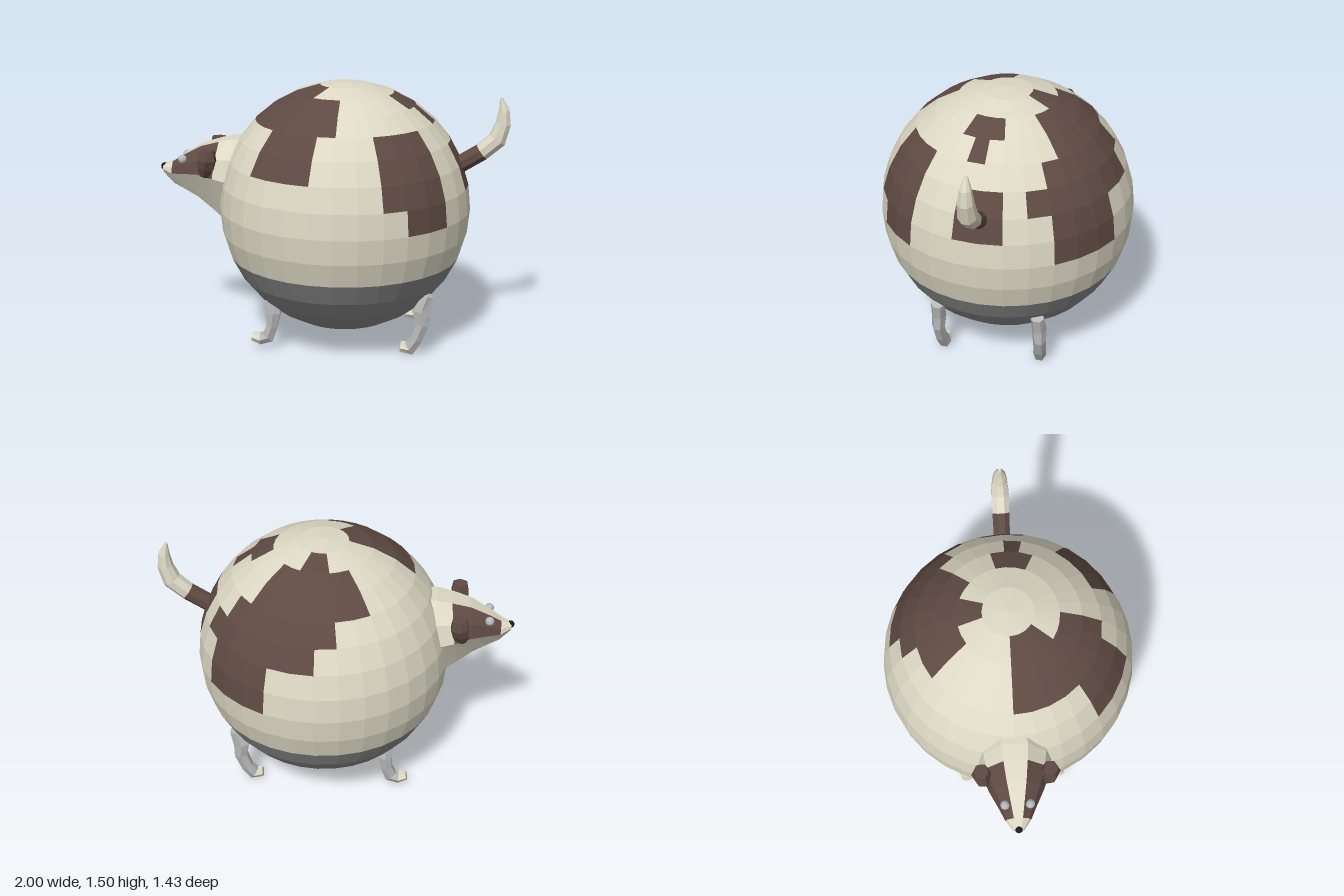
import * as THREE from 'three';

const CREAM = 0xdcd8c4, BROWN = 0x5f4a43, BELLY = 0x868686, LEG = 0xb8b8b8, BLACK = 0x1c1a1a, EYE = 0xb4bac0;
const mats = new Map();
const mat = (color) => {
  if (!mats.has(color)) mats.set(color, new THREE.MeshStandardMaterial({ color, flatShading: true }));
  return mats.get(color);
};

// Collects flat facets by colour and turns them into one named group
class Facets {
  constructor() { this.byColor = new Map(); }
  quad(color, a, b, c, d) {
    if (!this.byColor.has(color)) this.byColor.set(color, []);
    const out = this.byColor.get(color);
    for (const p of [a, b, c, a, c, d]) out.push(p.x, p.y, p.z);
  }
  build(name) {
    const group = new THREE.Group();
    group.name = name;
    for (const [color, pts] of this.byColor) {
      const g = new THREE.BufferGeometry();
      g.setAttribute('position', new THREE.Float32BufferAttribute(pts, 3));
      g.computeVertexNormals();
      const mesh = new THREE.Mesh(g, mat(color));
      mesh.name = name + 'Surface';
      group.add(mesh);
    }
    return group;
  }
}

// Skins a row of rings; colorOf(ring, side) picks the colour of each facet
function loft(name, rings, colorOf) {
  const f = new Facets(), n = rings[0].length, last = rings.length - 1;
  for (let i = 0; i < last; i++)
    for (let k = 0; k < n; k++) {
      const m = (k + 1) % n;
      f.quad(colorOf(i, k), rings[i][k], rings[i][m], rings[i + 1][m], rings[i + 1][k]);
    }
  const mid = (r) => r.reduce((s, p) => s.add(p), new THREE.Vector3()).divideScalar(n);
  const a = mid(rings[0]), b = mid(rings[last]);
  for (let k = 0; k < n; k++) {
    const m = (k + 1) % n;
    f.quad(colorOf(0, k), a, rings[0][m], rings[0][k], a);
    f.quad(colorOf(last - 1, k), b, rings[last][k], rings[last][m], b);
  }
  return f.build(name);
}

// Limb along a path of [x, y, z, half thickness, half width in z]
function limb(name, path, sides, colorOf) {
  const rings = path.map(([x, y, z, h, w], i) => {
    const p = path[Math.max(i - 1, 0)], q = path[Math.min(i + 1, path.length - 1)];
    const t = new THREE.Vector2(q[0] - p[0], q[1] - p[1]).normalize();
    return Array.from({ length: sides }, (_, k) => {
      const a = ((k + 0.5) / sides) * Math.PI * 2, c = Math.cos(a) * h;
      return new THREE.Vector3(x - t.y * c, y + t.x * c, z + Math.sin(a) * w);
    });
  });
  return loft(name, rings, colorOf);
}

// Round body, 16 rows by 32 columns, with patches as [row, first column, end column]
function makeBody() {
  const patches = [
    [4, 3, 6], [5, 3, 6], [6, 3, 6], [7, 3, 5],                    // rear flank, left
    [5, -1, 1], [6, -1, 1],                                        // round the tail
    [2, -1, 2], [3, 0, 1],                                         // small top spot
    [1, 11, 16], [2, 8, 16], [3, 8, 16], [4, 9, 12], [5, 9, 12],   // shoulder
    [1, -9, -6], [2, -11, -4], [3, -11, -4], [4, -9, -3],          // back flank
    [5, -8, -2], [6, -6, -3], [7, -6, -3],
  ];
  const R = 0.715, f = new Facets();
  const pt = (i, j) => {
    const a = (i * Math.PI) / 16, b = (j * Math.PI) / 16;
    return new THREE.Vector3(0.07 + R * Math.sin(a) * Math.cos(b), 0.805 + R * Math.cos(a), R * Math.sin(a) * Math.sin(b));
  };
  for (let i = 0; i < 16; i++)
    for (let j = -16; j < 16; j++) {
      const brown = patches.some(([r, s, e]) => r === i && j >= s && j < e);
      f.quad(brown ? BROWN : i >= 10 ? BELLY : CREAM, pt(i, j), pt(i, j + 1), pt(i + 1, j + 1), pt(i + 1, j));
    }
  return f.build('body');
}

// Head from neck to muzzle: [top x, top y, bottom x, bottom y, half width]
function makeHead() {
  const stations = [
    [-0.46, 1.19, -0.58, 0.70, 0.2], [-0.56, 1.187, -0.64, 0.732, 0.2],
    [-0.645, 1.17, -0.69, 0.775, 0.185], [-0.75, 1.14, -0.775, 0.84, 0.15],
    [-0.86, 1.08, -0.86, 0.882, 0.1], [-0.925, 1.038, -0.92, 0.91, 0.07],
    [-0.985, 1.015, -0.98, 0.968, 0.03],
  ];
  const half = [[0, 0.35], [0.52, 1], [0.78, 0.85], [1, 0.35]];
  const profile = [...half, ...half.slice().reverse().map(([s, w]) => [s, -w])];
  const rings = stations.map(([xt, yt, xb, yb, w]) => profile.map(([s, k]) =>
    new THREE.Vector3(xb + (xt - xb) * s, yb + (yt - yb) * s, w * k)));
  const mask = [1, 2, 4, 5];
  return loft('head', rings, (i, k) => (i >= 2 && i <= 4 && mask.includes(k) ? BROWN : CREAM));
}

function ball(name, color, r, x, y, z) {
  const m = new THREE.Mesh(new THREE.SphereGeometry(r, 10, 8), mat(color));
  m.name = name;
  m.position.set(x, y, z);
  return m;
}

export function createModel() {
  const model = new THREE.Group();
  model.name = 'roundDog';
  model.add(makeBody(), makeHead(), ball('nose', BLACK, 0.022, -0.978, 1.003, 0));

  // Curved tail, dark at the root
  const tail = [
    [0.64, 1.02, 0, 0.05, 0.05], [0.735, 1.07, 0, 0.05, 0.05], [0.84, 1.135, 0, 0.05, 0.052],
    [0.925, 1.21, 0, 0.054, 0.054], [0.955, 1.3, 0, 0.045, 0.045],
    [0.957, 1.375, 0, 0.032, 0.034], [0.94, 1.445, 0, 0.008, 0.01],
  ];
  model.add(limb('tail', tail, 8, (i) => (i < 2 ? BROWN : CREAM)));

  // Paired parts, mirrored in z
  for (const s of [1, -1]) {
    const side = s > 0 ? 'Front' : 'Back';
    const ear = [
      [-0.69, 1.145, s * 0.185, 0.045, 0.04], [-0.69, 1.09, s * 0.185, 0.055, 0.055],
      [-0.70, 1.04, s * 0.18, 0.05, 0.045], [-0.71, 0.99, s * 0.165, 0.026, 0.03],
    ];
    model.add(limb('ear' + side, ear, 6, () => BROWN));
    model.add(ball('eye' + side, EYE, 0.026, -0.857, 1.063, s * 0.068));

    const foreLeg = [
      [-0.315, 0.315, s * 0.28, 0.045, 0.04], [-0.305, 0.24, s * 0.29, 0.045, 0.045],
      [-0.315, 0.16, s * 0.295, 0.036, 0.036], [-0.34, 0.09, s * 0.29, 0.042, 0.036],
      [-0.385, 0.075, s * 0.285, 0.036, 0.04], [-0.432, 0.085, s * 0.28, 0.026, 0.03],
    ];
    const hindLeg = [
      [0.565, 0.375, s * 0.285, 0.035, 0.04], [0.53, 0.28, s * 0.29, 0.052, 0.043],
      [0.537, 0.2, s * 0.293, 0.042, 0.038], [0.505, 0.11, s * 0.29, 0.038, 0.036],
      [0.465, 0.05, s * 0.28, 0.044, 0.038], [0.415, 0.055, s * 0.275, 0.03, 0.03],
    ];
    const paw = (i) => (i === 4 ? CREAM : LEG);
    model.add(limb('foreLeg' + side, foreLeg, 6, paw), limb('hindLeg' + side, hindLeg, 6, paw));
  }
  return model;
}
